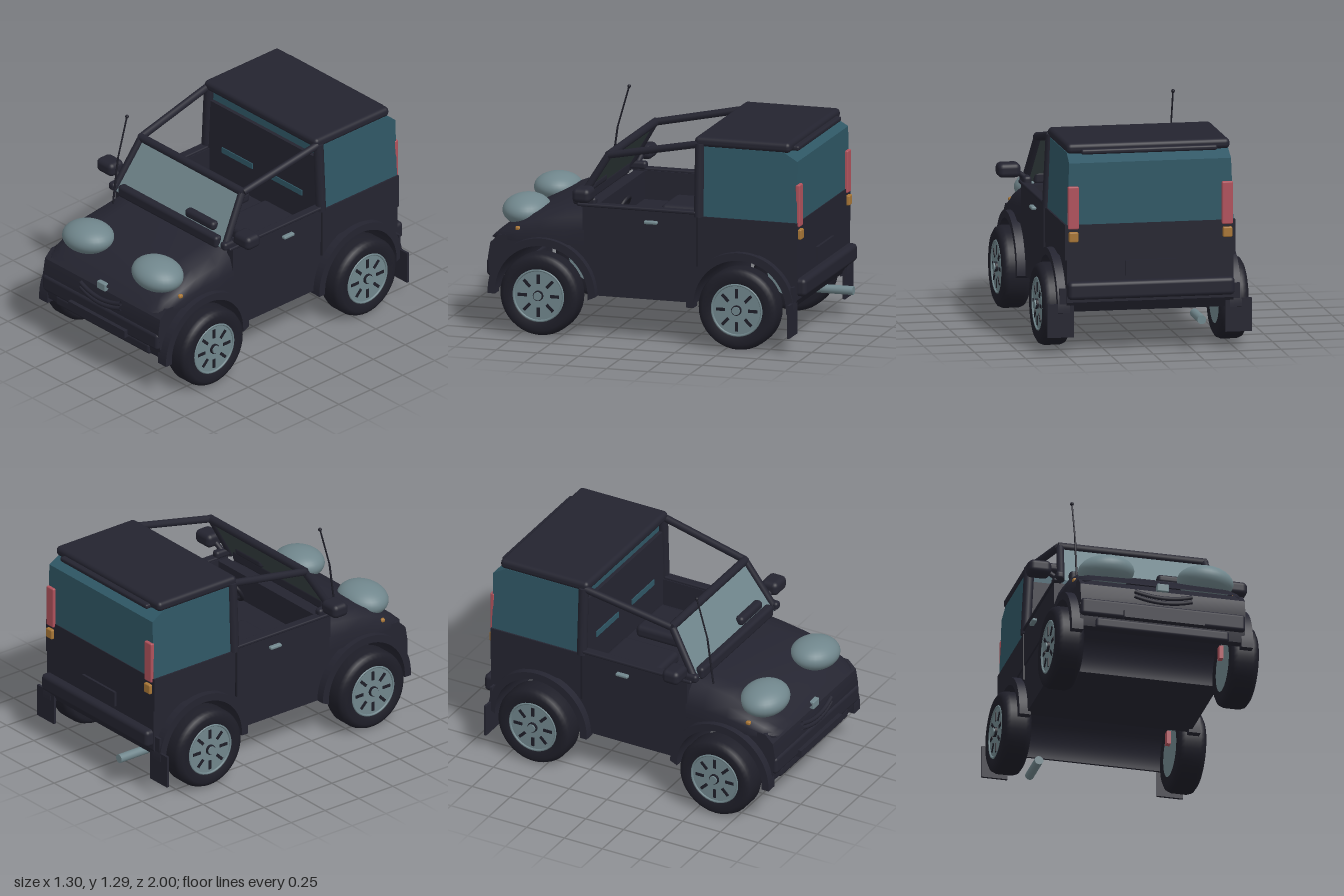
import * as THREE from 'three';
import { toCreasedNormals } from 'three/addons/utils/BufferGeometryUtils.js';
import { RoundedBoxGeometry } from 'three/addons/geometries/RoundedBoxGeometry.js';

const mat = (name, color, side = THREE.FrontSide) => {
  const m = new THREE.MeshStandardMaterial({ color, side });
  m.name = name;
  return m;
};

export function createModel() {
  const car = new THREE.Group();
  car.name = 'smallCar';
  const body = mat('darkBody', 0x242430, THREE.DoubleSide);
  const rubber = mat('rubber', 0x1e1e28);
  const silver = mat('silver', 0x70868c);
  const teal = mat('tealGlass', 0x2f5765);
  const red = mat('redLamp', 0xb0525c);
  const orange = mat('orangeLamp', 0xa87636);
  const glassBack = mat('glassInside', 0x364142);

  const add = (name, geo, m, x = 0, y = 0, z = 0, parent = car) => {
    const mesh = new THREE.Mesh(geo, m);
    mesh.name = name;
    mesh.position.set(x, y, z);
    parent.add(mesh);
    return mesh;
  };
  // boxes given by their limits
  const box = (name, m, [x0, x1], [y0, y1], [z0, z1], round = 0) => {
    const s = [x1 - x0, y1 - y0, z1 - z0];
    const geo = round ? new RoundedBoxGeometry(...s, 3, round) : new THREE.BoxGeometry(...s);
    return add(name, geo, m, (x0 + x1) / 2, (y0 + y1) / 2, (z0 + z1) / 2);
  };
  const beam = (name, m, a, b, r, sides = 10) => {
    const p = new THREE.Vector3(...a), q = new THREE.Vector3(...b);
    const mesh = add(name, new THREE.CylinderGeometry(r, r, p.distanceTo(q), sides), m);
    mesh.position.copy(p).lerp(q, 0.5);
    mesh.quaternion.setFromUnitVectors(new THREE.Vector3(0, 1, 0), q.sub(p).normalize());
    return mesh;
  };
  // side outline in (z, y), extruded across x
  const across = (shape, width) => new THREE.ExtrudeGeometry(shape,
    { depth: width, bevelEnabled: false, curveSegments: 28 })
    .translate(0, 0, -width / 2).rotateY(-Math.PI / 2);
  const axles = [0.625, -0.576];
  const pair = (name, m, [x0, x1], y, z, round) => [1, -1].forEach((s) =>
    box(name, m, s > 0 ? [x0, x1] : [-x1, -x0], y, z, round));

  // lower body with wheel arches cut right through
  const low = new THREE.Shape();
  low.moveTo(0.345, 0.25);
  low.absarc(axles[0], 0.24, 0.28, Math.PI, 0, true);
  [[0.94, 0.25], [0.965, 0.42], [0.95, 0.51], [0.9, 0.56], [-0.91, 0.56], [-0.91, 0.3], [-0.87, 0.24]]
    .forEach((p) => low.lineTo(...p));
  low.absarc(axles[1], 0.24, 0.28, Math.PI, 0, true);
  low.closePath();
  add('lowerBody', toCreasedNormals(across(low, 0.98), 0.5), body);

  // bonnet lofted from front to back: z, top height, half width
  const sections = [[0.955, 0.54, 0.43], [0.93, 0.565, 0.46], [0.88, 0.605, 0.485], [0.78, 0.66, 0.5],
    [0.65, 0.722, 0.505], [0.5, 0.748, 0.505], [0.38, 0.768, 0.5]];
  const half = [[0, 0], [0, 0.4], [0.025, 0.72], [0.075, 0.93], [0.19, 1]];
  const pos = [], idx = [], n = half.length * 2;
  sections.forEach(([z, top, w], i) => {
    const ring = half.map(([inset, f]) => [w - inset, 0.53 + (top - 0.53) * f]);
    [...ring, ...ring.slice().reverse().map(([x, y]) => [-x, y])].forEach(([x, y], j) => {
      pos.push(x, y, z);
      if (i < sections.length - 1 && j < n - 1) {
        const a = i * n + j;
        idx.push(a, a + n + 1, a + 1, a, a + n, a + n + 1);
      }
    });
  });
  const loft = new THREE.BufferGeometry();
  loft.setAttribute('position', new THREE.Float32BufferAttribute(pos, 3));
  loft.setIndex(idx);
  add('bonnet', toCreasedNormals(loft, 0.9), body);

  // doors, dashboard and rear body
  pair('doorWall', body, [0.45, 0.5], [0.55, 0.77], [-0.32, 0.39]);
  pair('waistMoulding', body, [0.455, 0.51], [0.765, 0.785], [-0.3, 0.42], 0.008);
  pair('doorSeam', rubber, [0.495, 0.506], [0.46, 0.76], [-0.31, -0.3]);
  pair('doorHandle', silver, [0.5, 0.53], [0.692, 0.712], [-0.07, 0.01], 0.008);
  box('dashboard', body, [-0.46, 0.46], [0.55, 0.765], [0.32, 0.385]);
  box('rearBody', body, [-0.5, 0.5], [0.55, 0.755], [-0.91, -0.32]);
  box('cabinFloor', body, [-0.46, 0.46], [0.55, 0.6], [-0.32, 0.36]);
  for (const x of [-0.21, 0.21]) {
    box('seat', body, [x - 0.15, x + 0.15], [0.59, 0.67], [-0.27, 0.1], 0.03);
    box('bulkheadGlass', teal, [x - 0.13, x + 0.13], [0.79, 0.825], [-0.302, -0.296]);
  }
  const wheelRim = add('steeringWheel', new THREE.TorusGeometry(0.08, 0.012, 8, 24), rubber, 0.22, 0.7, 0.24);
  wheelRim.rotation.x = -0.5;
  box('bulkhead', body, [-0.46, 0.46], [0.6, 1.09], [-0.335, -0.302]);

  // rear glass canopy, narrower toward the roof
  const canopy = new THREE.Shape();
  canopy.moveTo(-0.325, 0.75);
  [[-0.325, 1.165], [-0.82, 1.165], [-0.905, 1.115], [-0.905, 0.75]].forEach((p) => canopy.lineTo(...p));
  const canopyGeo = across(canopy, 0.98);
  const cp = canopyGeo.attributes.position;
  for (let i = 0; i < cp.count; i++) cp.setX(i, cp.getX(i) * (1 - (cp.getY(i) - 0.75) * 0.08));
  canopyGeo.computeVertexNormals();
  add('rearCanopy', canopyGeo, teal);

  // roof, pillars and rails
  box('roof', body, [-0.48, 0.48], [1.16, 1.22], [-0.86, -0.28], 0.025);
  box('roofSpoiler', body, [-0.4, 0.4], [1.16, 1.19], [-0.89, -0.82], 0.012);
  for (const s of [1, -1]) {
    beam('roofRail', body, [s * 0.435, 1.065, 0.25], [s * 0.465, 1.175, -0.3], 0.022);
    beam('windscreenPillar', body, [s * 0.47, 0.77, 0.43], [s * 0.43, 1.06, 0.255], 0.022);
    beam('rearPillar', body, [s * 0.487, 0.75, -0.312], [s * 0.465, 1.18, -0.312], 0.03);
  }
  beam('windscreenHeader', body, [-0.44, 1.065, 0.25], [0.44, 1.065, 0.25], 0.025);

  // windscreen: outer and inner faces
  const pane = (name, m, flip, dz) => {
    const g = new THREE.BufferGeometry();
    g.setAttribute('position', new THREE.Float32BufferAttribute(
      [-0.46, 0.77, 0.43 + dz, 0.46, 0.77, 0.43 + dz, 0.42, 1.055, 0.255 + dz, -0.42, 1.055, 0.255 + dz], 3));
    g.setIndex(flip ? [0, 2, 1, 0, 3, 2] : [0, 1, 2, 0, 2, 3]);
    g.computeVertexNormals();
    add(name, g, m);
  };
  pane('windscreen', silver, false, 0);
  pane('windscreenInside', glassBack, true, -0.004);
  box('cowl', body, [-0.42, 0.42], [0.755, 0.83], [0.395, 0.45], 0.02);
  box('cowlPod', body, [0.11, 0.355], [0.83, 0.885], [0.36, 0.415], 0.022);

  // wing mirrors
  pair('mirrorHousing', body, [0.515, 0.65], [0.815, 0.9], [0.3, 0.41], 0.03);
  pair('mirrorBase', body, [0.45, 0.5], [0.77, 0.82], [0.31, 0.45], 0.018);
  for (const s of [1, -1]) beam('mirrorArm', body, [s * 0.47, 0.8, 0.37], [s * 0.54, 0.85, 0.36], 0.016);

  // antenna
  beam('antennaBase', rubber, [-0.395, 0.74, 0.505], [-0.395, 1.03, 0.465], 0.006, 8);
  beam('antennaTip', rubber, [-0.395, 1.03, 0.465], [-0.395, 1.275, 0.395], 0.005, 8);
  add('antennaBall', new THREE.SphereGeometry(0.011, 12, 8), rubber, -0.395, 1.275, 0.395);

  // lamps
  for (const s of [1, -1]) {
    const lamp = add('headlamp', new THREE.SphereGeometry(1, 32, 20), silver, s * 0.295, 0.678, 0.79);
    lamp.scale.set(0.165, 0.09, 0.14);
    lamp.rotation.z = -s * 0.07;
  }
  pair('sideMarker', orange, [0.45, 0.495], [0.59, 0.615], [0.77, 0.8], 0.01);
  pair('tailLamp', red, [0.42, 0.485], [0.73, 0.98], [-0.922, -0.895], 0.008);
  pair('rearIndicator', orange, [0.425, 0.48], [0.655, 0.715], [-0.93, -0.9], 0.008);

  // bumpers, plates and front trim
  box('frontBumper', body, [-0.49, 0.49], [0.31, 0.415], [0.9, 0.975], 0.02);
  box('frontPlate', body, [-0.24, 0.24], [0.305, 0.35], [0.96, 1.0]);
  box('chin', body, [-0.4, 0.4], [0.24, 0.31], [0.89, 0.955], 0.02);
  box('noseBadge', silver, [-0.035, 0.035], [0.51, 0.558], [0.93, 0.965], 0.006);
  for (const y of [0.43, 0.46]) {
    const smile = new THREE.QuadraticBezierCurve3(new THREE.Vector3(-0.17, y + 0.03, 0.965),
      new THREE.Vector3(0, y - 0.03, 0.985), new THREE.Vector3(0.17, y + 0.03, 0.965));
    add('grilleBar', new THREE.TubeGeometry(smile, 20, 0.013, 8), body);
  }
  box('rearBumper', body, [-0.49, 0.49], [0.32, 0.425], [-0.96, -0.89], 0.025);
  box('rearPlate', body, [-0.15, 0.15], [0.45, 0.54], [-0.925, -0.9]);
  beam('exhaust', silver, [-0.285, 0.19, -0.78], [-0.285, 0.19, -1], 0.026, 20);

  // wheels, flares and mud flaps
  const tyre = new THREE.LatheGeometry([[0.15, -0.08], [0.205, -0.085], [0.23, -0.07], [0.24, -0.045],
    [0.24, 0.045], [0.23, 0.07], [0.205, 0.085], [0.16, 0.08], [0.15, 0.07]]
    .map((p) => new THREE.Vector2(...p)), 40);
  const flareShape = new THREE.Shape();
  flareShape.moveTo(-0.325, -0.02);
  flareShape.absarc(0, 0, 0.325, Math.PI, 0, true);
  flareShape.lineTo(0.325, -0.02);
  flareShape.lineTo(0.28, -0.02);
  flareShape.absarc(0, 0, 0.28, 0, Math.PI, false);
  flareShape.lineTo(-0.28, -0.02);
  flareShape.closePath();
  const flareGeo = toCreasedNormals(across(flareShape, 0.07), 0.5);
  for (const z of axles) {
    for (const s of [1, -1]) {
      add('wheelFlare', flareGeo, body, s * 0.505, 0.24, z);
      const wheel = new THREE.Group();
      wheel.name = 'wheel';
      wheel.position.set(s * 0.52, 0.24, z);
      wheel.rotation.z = -s * Math.PI / 2;
      car.add(wheel);
      add('tyre', tyre, rubber, 0, 0, 0, wheel);
      add('rim', new THREE.CylinderGeometry(0.155, 0.165, 0.152, 36), silver, 0, -0.002, 0, wheel);
      const lip = add('rimLip', new THREE.TorusGeometry(0.15, 0.007, 8, 36), silver, 0, 0.075, 0, wheel);
      lip.rotation.x = Math.PI / 2;
      add('hubRing', new THREE.CylinderGeometry(0.03, 0.03, 0.02, 20), rubber, 0, 0.078, 0, wheel);
      add('hubCap', new THREE.CylinderGeometry(0.024, 0.024, 0.03, 20), silver, 0, 0.081, 0, wheel);
      for (let k = 0; k < 8; k++) {
        const a = k * Math.PI / 4;
        const slot = add('rimSlot', new THREE.BoxGeometry(0.055, 0.006, 0.018), rubber,
          0.098 * Math.cos(a), 0.076, 0.098 * Math.sin(a), wheel);
        slot.rotation.y = -a;
      }
      box('brakeCaliper', red, [s * 0.43 - 0.012, s * 0.43 + 0.012], [0.28, 0.36], [z - 0.02, z + 0.02]);
    }
  }
  pair('mudFlap', body, [0.445, 0.6], [0.095, 0.29], [-0.897, -0.882]);
  pair('mudFlapMount', body, [0.46, 0.53], [0.28, 0.38], [-0.897, -0.882]);
  return car;
}
